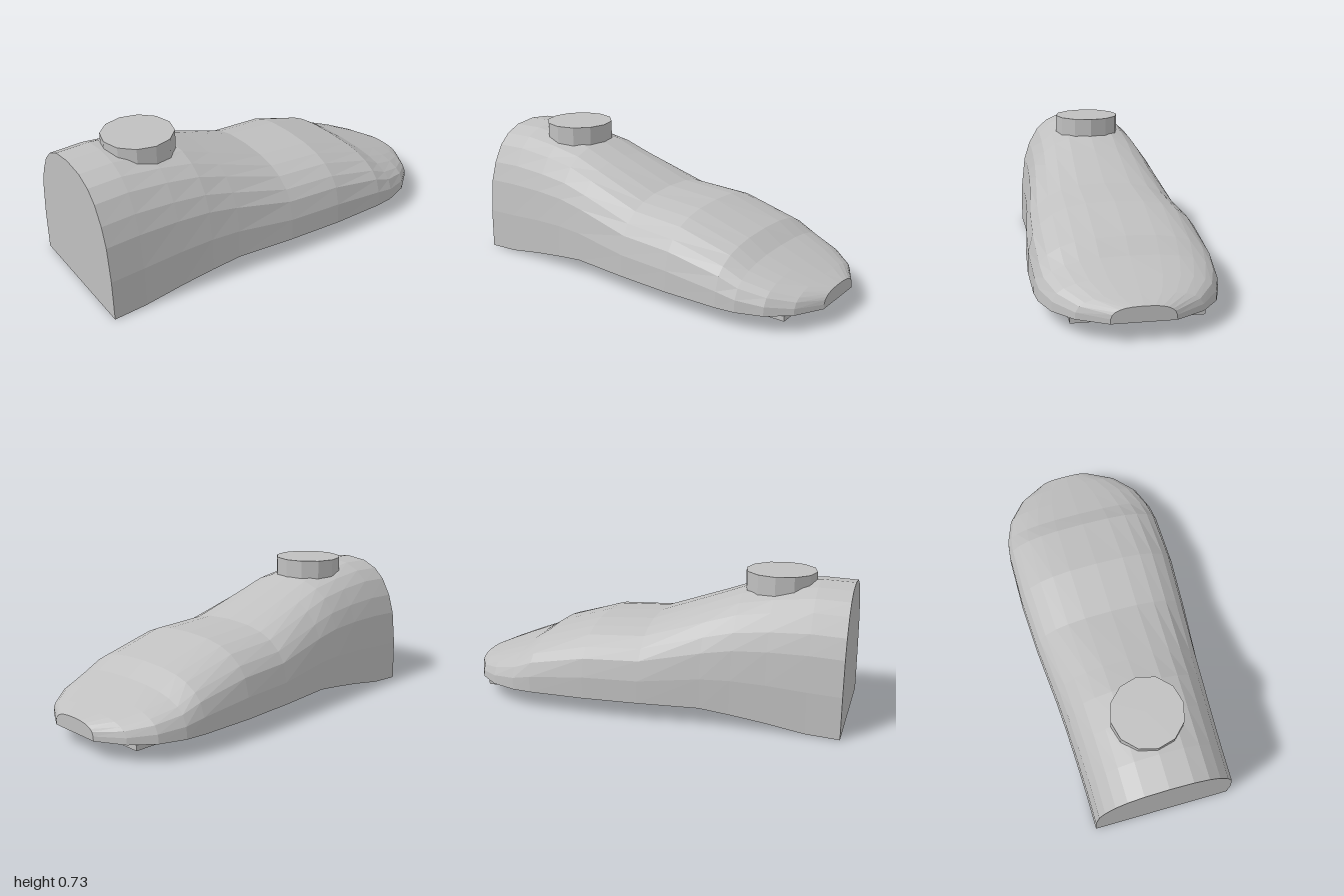
import * as THREE from 'three';

// Stations from the heel to the toe: z, half width, bottom y, top y
const STATIONS = [
  [1, 0.365, 0, 0.685], [0.83, 0.367, 0.01, 0.69], [0.63, 0.375, 0.045, 0.665],
  [0.46, 0.384, 0.07, 0.632], [0.31, 0.395, 0.09, 0.575], [0, 0.425, 0.09, 0.463],
  [-0.29, 0.442, 0.09, 0.445], [-0.58, 0.441, 0.09, 0.353], [-0.68, 0.43, 0.09, 0.287],
  [-0.81, 0.384, 0.09, 0.237], [-0.92, 0.293, 0.09, 0.195], [-1, 0.15, 0.09, 0.165],
];

// Half of the arched cross-section, as fractions of half width and height
const ARCH = [[1, 0], [0.99, 0.31], [0.935, 0.57], [0.85, 0.715],
  [0.71, 0.847], [0.55, 0.927], [0.33, 0.98], [0, 1]];

function loftBody() {
  const profile = [...ARCH, ...ARCH.slice(0, -1).reverse().map(([x, y]) => [-x, y])];
  const n = profile.length;
  const positions = [], index = [];
  for (const [z, w, y0, y1] of STATIONS) {
    for (const [u, v] of profile) positions.push(u * w, y0 + v * (y1 - y0), z);
  }
  // Skin between neighbouring sections; the last strip is the underside
  for (let i = 0; i < STATIONS.length - 1; i++) {
    for (let j = 0; j < n; j++) {
      const k = (j + 1) % n;
      const a = i * n + j, b = i * n + k, c = b + n, d = a + n;
      index.push(a, d, c, a, c, b);
    }
  }
  // Flat ends
  const last = (STATIONS.length - 1) * n;
  for (let j = 1; j < n - 1; j++) {
    index.push(0, j, j + 1);
    index.push(last, last + j + 1, last + j);
  }
  const indexed = new THREE.BufferGeometry();
  indexed.setAttribute('position', new THREE.Float32BufferAttribute(positions, 3));
  indexed.setIndex(index);
  const geometry = indexed.toNonIndexed();
  geometry.computeVertexNormals();
  return geometry;
}

export function createModel() {
  const group = new THREE.Group();
  group.name = 'roundedShell';
  const grey = new THREE.MeshStandardMaterial({ color: 0xc0c0c0, flatShading: true });
  grey.name = 'lightGrey';

  const add = (name, geometry, x, y, z) => {
    const mesh = new THREE.Mesh(geometry, grey);
    mesh.name = name;
    mesh.position.set(x, y, z);
    group.add(mesh);
  };

  // Tapering arched body
  add('body', loftBody(), 0, 0, 0);
  // Twelve-sided button on top
  add('topButton', new THREE.CylinderGeometry(0.18, 0.18, 0.125, 12), 0, 0.6625, 0.63);
  // Thin pad under the toe
  add('solePad', new THREE.BoxGeometry(0.62, 0.045, 0.79), 0, 0.0775, -0.485);

  return group;
}
